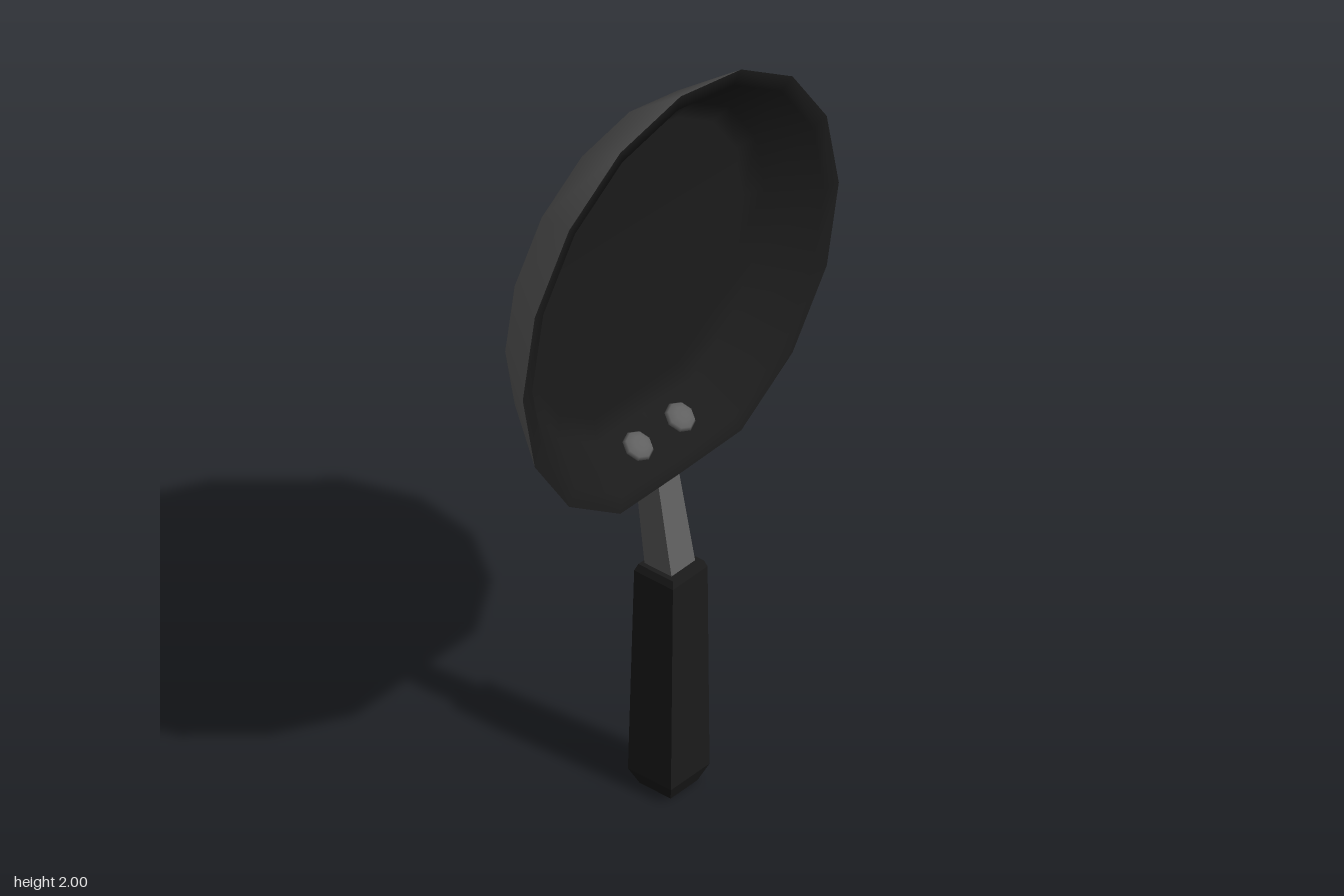
import * as THREE from 'three';

const steel = new THREE.MeshStandardMaterial({ name: 'grey steel', color: 0x5f5f5f });
const black = new THREE.MeshStandardMaterial({ name: 'black coating', color: 0x1b1b1b });

const RIM_Z = 0.09;
const PAN_Y = 1.435;

// Sixteen-sided dish from [radius, depth] points, with the side at the handle flattened
function dish(points) {
  const geo = new THREE.LatheGeometry(points.map(([r, d]) => new THREE.Vector2(r, d)), 16);
  geo.rotateX(Math.PI / 2);
  const p = geo.attributes.position;
  for (let i = 0; i < p.count; i++) {
    if (Math.abs(p.getX(i)) < 1e-3 && p.getY(i) < 0) p.setY(i, p.getY(i) * 0.928);
  }
  return geo;
}

// Faceted bar through rectangular sections [y, halfWidth, zFront, zBack], listed upward
function bar(sections) {
  const rings = sections.map(([y, w, f, b]) => [[-w, y, f], [w, y, f], [w, y, b], [-w, y, b]]);
  const v = [];
  const quad = (a, b, c, d) => v.push(...a, ...b, ...c, ...a, ...c, ...d);
  for (let i = 0; i < rings.length - 1; i++) {
    for (let k = 0; k < 4; k++) {
      const n = (k + 1) % 4;
      quad(rings[i][k], rings[i][n], rings[i + 1][n], rings[i + 1][k]);
    }
  }
  const lo = rings[0], hi = rings[rings.length - 1];
  quad(lo[3], lo[2], lo[1], lo[0]);
  quad(hi[0], hi[1], hi[2], hi[3]);
  const geo = new THREE.BufferGeometry();
  geo.setAttribute('position', new THREE.Float32BufferAttribute(v, 3));
  geo.computeVertexNormals();
  return geo;
}

export function createModel() {
  const model = new THREE.Group();
  model.name = 'fryingPan';
  const add = (name, geo, mat, x = 0, y = 0, z = 0) => {
    const mesh = new THREE.Mesh(geo, mat);
    mesh.name = name;
    mesh.position.set(x, y, z);
    model.add(mesh);
    return mesh;
  };

  // Pan: steel outside; dark lip, inner wall and floor inside, with a thick wall between
  add('panOutside', dish([[0, -0.2], [0.348, -0.2], [0.445, -0.157], [0.565, 0]]), steel, 0, PAN_Y, RIM_Z);
  add('panInside', dish([[0.565, 0], [0.522, -0.008], [0.435, -0.115], [0.385, -0.138], [0, -0.138]]), black, 0, PAN_Y, RIM_Z);

  // Cranked stem flaring into the bracket under the rim
  add('stem', bar([
    [0.61, 0.043, 0.103, 0.019],
    [0.87, 0.037, 0.054, -0.018],
    [0.915, 0.112, 0.054, -0.018],
    [0.988, 0.134, 0.01, -0.018],
  ]), steel);

  // Grip with chamfered ends
  add('grip', bar([
    [0, 0.048, 0.1, 0.005],
    [0.045, 0.069, 0.119, -0.013],
    [0.62, 0.062, 0.119, 0.0],
    [0.638, 0.055, 0.114, 0.007],
  ]), black);

  // Domed rivets standing on the sloping inner wall
  const dome = new THREE.SphereGeometry(0.04, 8, 3, 0, Math.PI * 2, 0, Math.PI / 2);
  for (const side of [-1, 1]) {
    const rivet = add('rivet', dome, steel, side * 0.075, 0.998, 0.023);
    rivet.scale.y = 0.45;
    rivet.rotation.x = 0.6;
  }

  // The whole pan is turned slightly about its upright axis
  model.rotation.y = 0.041;
  model.position.x = -0.003;
  const root = new THREE.Group();
  root.add(model);
  return root;
}
